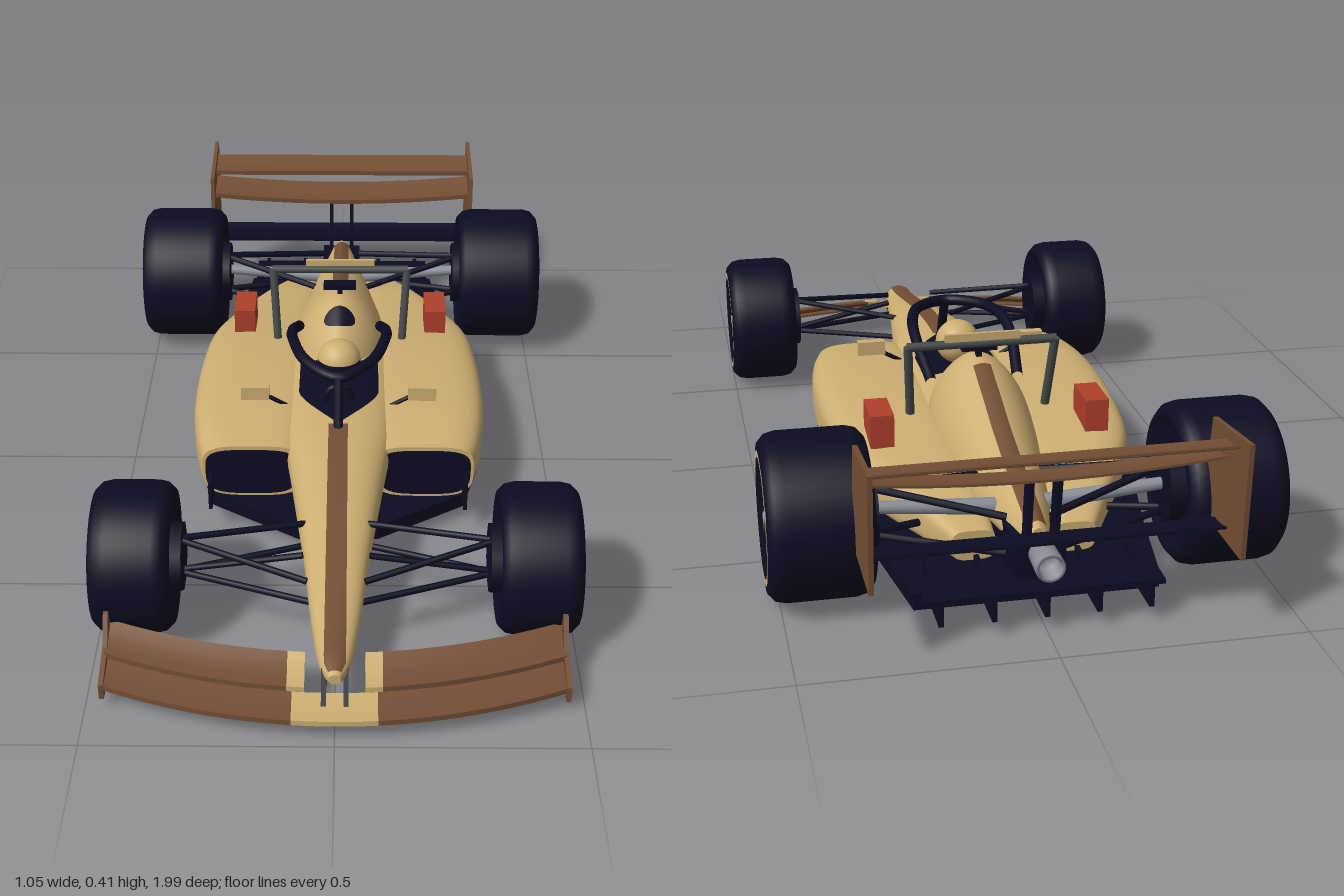
import * as THREE from 'three';

const mat = (name, color, side = THREE.FrontSide) => Object.assign(new THREE.MeshStandardMaterial({ color, side }), { name });
const cream = mat('cream', 0xcdae72), navy = mat('navy', 0x0c0c22), brown = mat('brown', 0x744e34);
const red = mat('red', 0xb0402c), grey = mat('dark grey', 0x464b4b), silver = mat('silver', 0x8a8e98);

export function createModel() {
  const car = new THREE.Group();
  car.name = 'openWheelRaceCar';

  const add = (name, geo, m, x = 0, y = 0, z = 0, parent = car) => {
    const mesh = new THREE.Mesh(geo, m);
    mesh.name = name;
    mesh.position.set(x, y, z);
    parent.add(mesh);
    return mesh;
  };
  const box = (name, w, h, d, m, x, y, z) => add(name, new THREE.BoxGeometry(w, h, d), m, x, y, z);

  // Straight round bar between two points
  const rod = (name, a, b, r, m = navy, r2 = r) => {
    const p = new THREE.Vector3(...a), q = new THREE.Vector3(...b);
    const mesh = add(name, new THREE.CylinderGeometry(r2, r, p.distanceTo(q), 10), m);
    mesh.position.copy(p).lerp(q, 0.5);
    mesh.quaternion.setFromUnitVectors(new THREE.Vector3(0, 1, 0), q.sub(p).normalize());
  };

  // Smooth hull: rows are [z, centre x, half width, centre y, rise above, drop below], front to back
  const hull = (rows, e) => {
    const curve = new THREE.CubicInterpolant(rows.map(r => -r[0]), rows.flatMap(r => r.slice(1)), 5, new Float32Array(5));
    const at = z => Array.from(curve.evaluate(-z));
    const topY = (z, x) => {
      const [cx, hw, cy, up] = at(z);
      return cy + up * Math.pow(1 - Math.min(1, Math.abs((x - cx) / hw)) ** e, 1 / e);
    };
    return { z0: rows[0][0], z1: rows[rows.length - 1][0], e, at, topY };
  };
  const loft = (h, steps = 40, n = 40) => {
    const pos = [], idx = [];
    const ring = z => {
      const [cx, hw, cy, up, dn] = h.at(z);
      for (let j = 0; j < n; j++) {
        const a = j / n * Math.PI * 2, c = Math.cos(a), s = Math.sin(a);
        pos.push(cx + hw * Math.sign(c) * Math.abs(c) ** (2 / h.e),
          cy + (s > 0 ? up : dn) * Math.sign(s) * Math.abs(s) ** (2 / h.e), z);
      }
      return [cx, cy, z];
    };
    for (let i = 0; i <= steps; i++) ring(h.z0 + (h.z1 - h.z0) * i / steps);
    for (let i = 0; i < steps; i++) for (let j = 0; j < n; j++) {
      const a = i * n + j, b = i * n + (j + 1) % n;
      idx.push(a, a + n, b, b, a + n, b + n);
    }
    for (const [z, front] of [[h.z0, true], [h.z1, false]]) {
      const base = pos.length / 3;
      pos.push(...ring(z));
      for (let j = 0; j < n; j++) {
        const a = base + j, b = base + (j + 1) % n;
        idx.push(base + n, front ? a : b, front ? b : a);
      }
    }
    const g = new THREE.BufferGeometry();
    g.setAttribute('position', new THREE.Float32BufferAttribute(pos, 3));
    g.setIndex(idx);
    g.computeVertexNormals();
    return g;
  };
  // Painted skin lying on top of a hull
  const skin = (h, z0, z1, width, lift) => {
    const g = new THREE.PlaneGeometry(1, 1, 10, 36).rotateX(-Math.PI / 2), p = g.attributes.position;
    for (let i = 0; i < p.count; i++) {
      const z = z0 + (z1 - z0) * (p.getZ(i) + 0.5), x = p.getX(i) * 2 * width(z);
      p.setXYZ(i, x, h.topY(z, x) + lift, z);
    }
    g.computeVertexNormals();
    return g;
  };

  // Nose and cockpit tub
  const tub = hull([
    [0.925, 0, 0.012, 0.105, 0.012, 0.012], [0.9, 0, 0.026, 0.105, 0.022, 0.022], [0.8, 0, 0.045, 0.11, 0.03, 0.03],
    [0.6, 0, 0.068, 0.135, 0.042, 0.048], [0.45, 0, 0.088, 0.15, 0.054, 0.062], [0.3, 0, 0.108, 0.16, 0.062, 0.08],
    [0.2, 0, 0.122, 0.17, 0.058, 0.09], [0, 0, 0.13, 0.175, 0.055, 0.1], [-0.25, 0, 0.125, 0.17, 0.055, 0.1]], 2.4);
  add('noseAndTub', loft(tub, 60), cream);
  add('noseStripe', skin(tub, 0.2, 0.918, z => Math.min(0.022, tub.at(z)[1] * 0.8), 0.003), brown);
  add('cockpitOpening', skin(tub, -0.08, 0.2, z => 0.092 * (z < 0.05 ? 1 : Math.max(0, 1 - ((z - 0.05) / 0.15) ** 1.5)) + 0.002, 0.006), navy);

  // Engine cover with its spine stripe
  const cover = hull([
    [-0.06, 0, 0.05, 0.17, 0.075, 0.05], [-0.13, 0, 0.09, 0.17, 0.12, 0.08], [-0.22, 0, 0.115, 0.17, 0.163, 0.1],
    [-0.35, 0, 0.11, 0.16, 0.14, 0.09], [-0.5, 0, 0.09, 0.145, 0.105, 0.07], [-0.65, 0, 0.065, 0.14, 0.075, 0.05],
    [-0.82, 0, 0.028, 0.14, 0.045, 0.03]], 1.7);
  add('engineCover', loft(cover), cream);
  add('spineStripe', skin(cover, -0.8, -0.28, () => 0.02, 0.003), brown);
  add('airIntake', skin(cover, -0.185, -0.135, z => 0.038 * Math.sqrt(Math.max(0, 1 - ((z + 0.16) / 0.025) ** 2)), 0.004), navy);
  box('cameraStem', 0.012, 0.04, 0.02, navy, 0, 0.335, -0.24);
  box('cameraPod', 0.08, 0.012, 0.03, navy, 0, 0.353, -0.24);

  // Driver helmet, visor, headrest and steering wheel
  add('helmet', new THREE.SphereGeometry(0.052, 28, 20), cream, 0, 0.28, 0);
  add('visor', new THREE.SphereGeometry(0.0535, 20, 6, Math.PI * 0.1, Math.PI * 0.8, Math.PI * 0.43, Math.PI * 0.16), navy, 0, 0.28, 0);
  add('steeringWheel', new THREE.TorusGeometry(0.03, 0.007, 8, 20), navy, 0, 0.245, 0.11);

  // Cockpit guard hoop
  const hoop = [[-0.1, 0.26, -0.2], [-0.112, 0.315, -0.08], [-0.108, 0.337, 0], [-0.075, 0.337, 0.1], [0, 0.33, 0.16]];
  const hoopPts = [...hoop, ...hoop.slice(0, -1).reverse().map(([x, y, z]) => [-x, y, z])].map(p => new THREE.Vector3(...p));
  add('guardHoop', new THREE.TubeGeometry(new THREE.CatmullRomCurve3(hoopPts), 60, 0.013, 10), navy);
  rod('guardPillar', [0, 0.22, 0.215], [0, 0.333, 0.16], 0.011);

  // Cross bar frame behind the cockpit
  rod('crossBar', [-0.168, 0.376, -0.28], [0.168, 0.376, -0.28], 0.01, grey);
  box('crossBarPlate', 0.17, 0.018, 0.008, cream, 0, 0.392, -0.283);

  // Floor and diffuser
  const half = [[0.09, 0.37], [0.29, 0.24], [0.33, 0.1], [0.33, -0.37], [0.285, -0.6], [0.25, -0.82]];
  const floorShape = new THREE.Shape([...half, ...half.slice().reverse().map(([x, z]) => [-x, z])].map(([x, z]) => new THREE.Vector2(x, -z)));
  add('floor', new THREE.ExtrudeGeometry(floorShape, { depth: 0.035, bevelEnabled: false }).rotateX(-Math.PI / 2), navy, 0, 0.03, 0);
  for (let i = -2; i <= 2; i++) box('diffuserFin', 0.01, 0.055, 0.18, navy, i * 0.105, 0.06, -0.81);
  box('diffuserRoof', 0.48, 0.01, 0.1, navy, 0, 0.08, -0.84);
  box('gearbox', 0.1, 0.09, 0.28, navy, 0, 0.115, -0.7);
  const exhaust = add('exhaust', new THREE.LatheGeometry([[0, -0.03], [0.028, -0.03], [0.03, 0.04], [0.023, 0.04], [0.021, 0], [0, 0]].map(p => new THREE.Vector2(...p)), 20), silver, 0, 0.145, -0.875);
  exhaust.rotation.x = -Math.PI / 2;

  // Curved wing element: a box whose leading edge and height follow rules of x
  const wing = (name, x0, x1, lead, chord, height, rise, m) => {
    const g = new THREE.BoxGeometry(1, 1, 1, 16, 1, 4), p = g.attributes.position;
    for (let i = 0; i < p.count; i++) {
      const x = x0 + (x1 - x0) * (p.getX(i) + 0.5), t = 0.5 - p.getZ(i);
      p.setXYZ(i, x, height(x) + rise * t * t + p.getY(i) * (0.012 - 0.007 * t), lead(x) - t * chord);
    }
    g.computeVertexNormals();
    add(name, g, m);
  };
  const sweep = z => x => z - 0.1 * (x / 0.465) ** 2;
  wing('frontWingCentre', -0.085, 0.085, sweep(0.99), 0.075, () => 0.05, 0.01, cream);
  wing('rearWingMain', -0.352, 0.352, () => -0.82, 0.085, x => 0.305 + 0.15 * x * x, 0.02, brown);
  wing('rearWingFlap', -0.352, 0.352, () => -0.88, 0.075, () => 0.365, 0.02, brown);
  wing('beamWing', -0.352, 0.352, () => -0.84, 0.07, () => 0.18, 0.015, navy);

  const plate = (name, pts, t, m, x) => {
    const g = new THREE.ExtrudeGeometry(new THREE.Shape(pts.map(([z, y]) => new THREE.Vector2(-z, y))), { depth: t, bevelEnabled: false });
    add(name, g.translate(0, 0, -t / 2).rotateY(Math.PI / 2), m, x);
  };

  // Wheel with the outer face on +y before it is turned sideways
  const wheel = (name, s, x, y, z, R, w) => {
    const g = new THREE.Group(), h = w / 2, r = R * 0.79;
    g.name = name;
    const profile = [[0, -h + 0.02], [r * 0.85, -h + 0.02], [r, -h], [R * 0.88, -h], [R * 0.97, -h + 0.014], [R, -h + 0.035],
      [R, h - 0.035], [R * 0.97, h - 0.014], [R * 0.88, h], [r * 0.9, h], [r * 0.87, h - 0.015], [0, h - 0.015]];
    const tyre = new THREE.LatheGeometry(profile.map(p => new THREE.Vector2(...p)), 48);
    add('tyre', tyre, navy, 0, 0, 0, g);
    const band = (n, a, b, d, m) => add(n, new THREE.RingGeometry(a, b, 48).rotateX(-Math.PI / 2), m, 0, d, 0, g);
    band('sidewallBand', r * 0.9, r, h + 0.002, cream);
    band('rimBand', r * 0.77, r * 0.86, h - 0.011, brown);
    for (let i = 0; i < 5; i++) {
      const spoke = add('spoke', new THREE.BoxGeometry(r * 0.78, 0.009, 0.014).translate(r * 0.41, 0, 0), brown, 0, h - 0.012, 0, g);
      spoke.rotation.y = i * Math.PI * 0.4 + Math.PI / 2;
    }
    add('hubNut', new THREE.CylinderGeometry(0.012, 0.015, 0.012, 12), silver, 0, h - 0.008, 0, g);
    g.rotation.z = -s * Math.PI / 2;
    g.position.set(s * x, y, z);
    car.add(g);
  };

  for (const s of [1, -1]) {
    const side = s > 0 ? 'left' : 'right';

    // Sidepod with dark inlet
    const pod = hull([
      [0.25, 0.195, 0.115, 0.14, 0.06, 0.075], [0.18, 0.2, 0.128, 0.14, 0.069, 0.078], [0.05, 0.2, 0.144, 0.14, 0.075, 0.078],
      [-0.2, 0.195, 0.145, 0.135, 0.073, 0.073], [-0.35, 0.185, 0.135, 0.125, 0.065, 0.063], [-0.5, 0.155, 0.1, 0.115, 0.055, 0.052],
      [-0.6, 0.13, 0.073, 0.11, 0.045, 0.045], [-0.7, 0.105, 0.045, 0.1, 0.03, 0.035]].map(r => (r[1] *= s, r)), 3.6);
    add(side + 'Sidepod', loft(pod), cream);
    add(side + 'SidepodInlet', loft(hull([[0.255, s * 0.198, 0.105, 0.14, 0.05, 0.066], [0.248, s * 0.198, 0.105, 0.14, 0.05, 0.066]], 3.6), 1), navy);
    box(side + 'InletVane', 0.008, 0.07, 0.07, navy, s * 0.29, 0.1, 0.27);
    box(side + 'Mirror', 0.065, 0.033, 0.022, cream, s * 0.195, 0.246, 0.088);
    rod(side + 'MirrorStay', [s * 0.11, 0.2, 0.085], [s * 0.18, 0.24, 0.085], 0.005);
    box(side + 'RedBlock', 0.052, 0.075, 0.105, red, s * 0.24, 0.222, -0.326);
    rod(side + 'CrossBarLeg', [s * 0.155, 0.19, -0.235], [s * 0.166, 0.376, -0.28], 0.01, grey);

    // Front wing halves, end plates and pylons
    wing(side + 'FrontWingMain', s > 0 ? 0.085 : -0.465, s > 0 ? 0.465 : -0.085, sweep(0.99), 0.075, () => 0.05, 0.01, brown);
    wing(side + 'FrontFlap', s > 0 ? 0.095 : -0.465, s > 0 ? 0.465 : -0.095, sweep(0.925), 0.08, () => 0.078, 0.025, brown);
    wing(side + 'FrontFlapRoot', s > 0 ? 0.06 : -0.095, s > 0 ? 0.095 : -0.06, sweep(0.925), 0.08, () => 0.078, 0.025, cream);
    plate(side + 'FrontEndPlate', [[0.895, 0.025], [0.895, 0.06], [0.81, 0.085], [0.77, 0.14], [0.755, 0.14], [0.755, 0.025]], 0.01, brown, s * 0.465);
    plate(side + 'NosePylon', [[0.955, 0.05], [0.9, 0.11], [0.85, 0.11], [0.91, 0.05]], 0.01, navy, s * 0.022);

    // Rear wing end plates and pylons
    plate(side + 'RearEndPlate', [[-0.77, 0.165], [-0.8, 0.383], [-1, 0.408], [-0.99, 0.165]], 0.01, brown, s * 0.356);
    plate(side + 'RearPylon', [[-0.8, 0.1], [-0.83, 0.31], [-0.87, 0.315], [-0.84, 0.1]], 0.01, navy, s * 0.028);

    // Wheels and suspension
    wheel(side + 'FrontWheel', s, 0.42, 0.16, 0.604, 0.16, 0.165);
    wheel(side + 'RearWheel', s, 0.42, 0.175, -0.65, 0.172, 0.21);
    rod(side + 'FrontHub', [s * 0.32, 0.16, 0.604], [s * 0.36, 0.16, 0.604], 0.075);
    rod(side + 'RearHub', [s * 0.3, 0.175, -0.65], [s * 0.34, 0.175, -0.65], 0.08);
    for (const z of [0.5, 0.7]) {
      rod(side + 'FrontUpperArm', [s * 0.06, 0.17, z], [s * 0.335, 0.205, 0.604], 0.007);
      rod(side + 'FrontLowerArm', [s * 0.05, 0.115, z], [s * 0.335, 0.12, 0.604], 0.007);
    }
    rod(side + 'FrontPushRod', [s * 0.07, 0.175, 0.62], [s * 0.33, 0.125, 0.604], 0.007);
    for (const z of [-0.54, -0.75]) {
      rod(side + 'RearUpperArm', [s * 0.05, 0.18, z], [s * 0.32, 0.225, -0.65], 0.008);
      rod(side + 'RearLowerArm', [s * 0.05, 0.1, z], [s * 0.32, 0.12, -0.65], 0.008);
    }
    rod(side + 'DriveShaft', [s * 0.05, 0.16, -0.655], [s * 0.31, 0.18, -0.655], 0.018, silver, 0.013);
  }
  return car;
}
